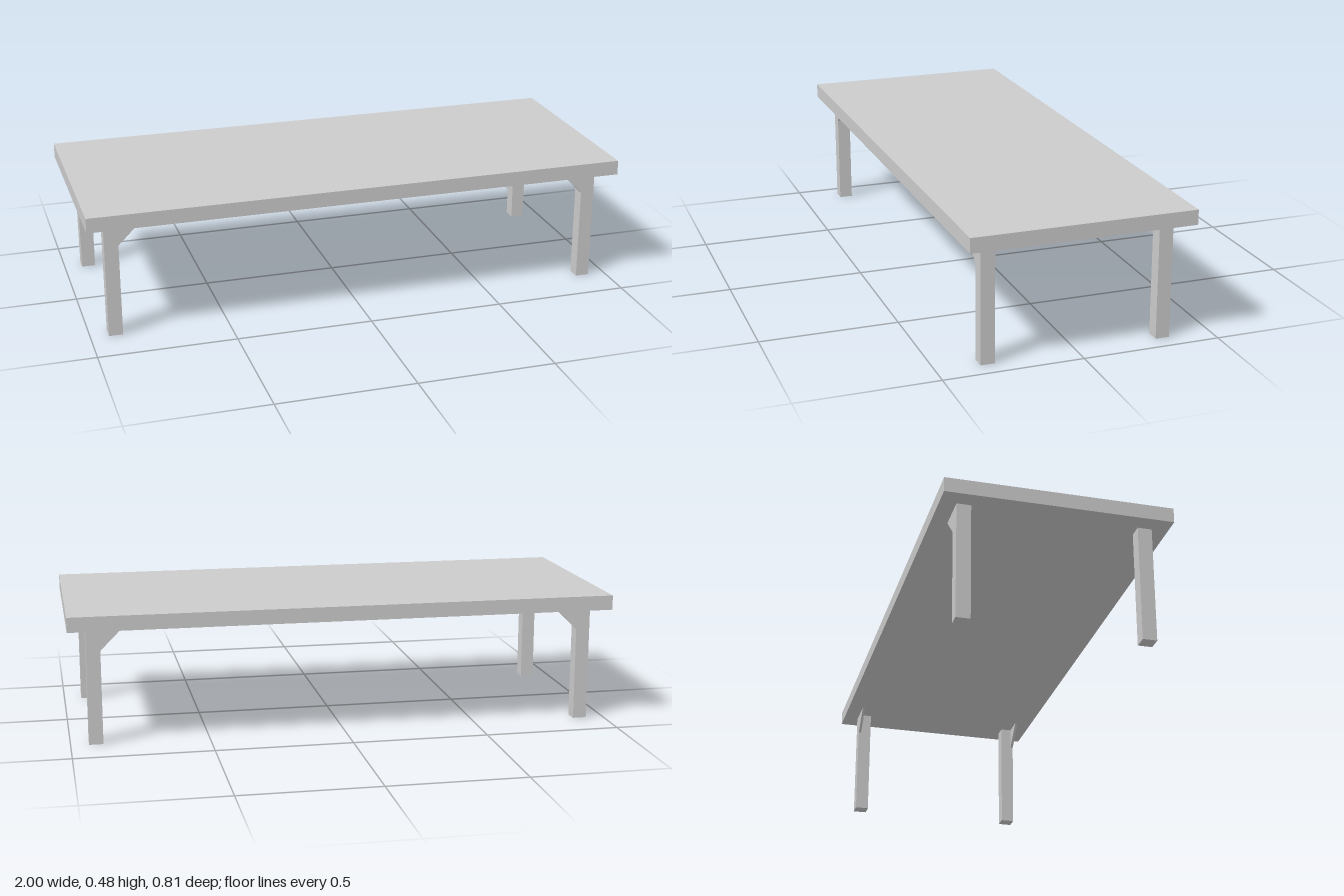
import * as THREE from 'three';

const TOP = { w: 2, h: 0.054, d: 0.807, y: 0.427 };
const LEG = { size: 0.051, x: 0.909, z: 0.32 };
const BRACE = { reach: 0.083, drop: 0.083, thick: 0.01 };

export function createModel() {
  const group = new THREE.Group();
  const material = new THREE.MeshStandardMaterial({ color: 0xcccccc, flatShading: true });

  function add(name, geometry, x, y, z) {
    const mesh = new THREE.Mesh(geometry, material);
    mesh.name = name;
    mesh.position.set(x, y, z);
    group.add(mesh);
  }

  // Slab top
  add('tableTop', new THREE.BoxGeometry(TOP.w, TOP.h, TOP.d), 0, TOP.y + TOP.h / 2, 0);

  const legGeometry = new THREE.BoxGeometry(LEG.size, TOP.y, LEG.size);

  // Triangular plate brace, pointing inward from the leg under the top
  function braceGeometry(side) {
    const shape = new THREE.Shape();
    shape.moveTo(0, 0);
    shape.lineTo(-side * BRACE.reach, 0);
    shape.lineTo(0, -BRACE.drop);
    shape.closePath();
    return new THREE.ExtrudeGeometry(shape, { depth: BRACE.thick, bevelEnabled: false });
  }

  // Four legs, each with a brace flush with its outer long-side face
  for (const sx of [-1, 1]) {
    for (const sz of [-1, 1]) {
      const label = (sz > 0 ? 'front' : 'back') + (sx > 0 ? 'Left' : 'Right');
      add(label + 'Leg', legGeometry, sx * LEG.x, TOP.y / 2, sz * LEG.z);
      const outer = sz * (LEG.z + LEG.size / 2);
      add(label + 'Brace', braceGeometry(sx), sx * (LEG.x - LEG.size / 2), TOP.y,
        sz > 0 ? outer - BRACE.thick : outer);
    }
  }
  return group;
}
